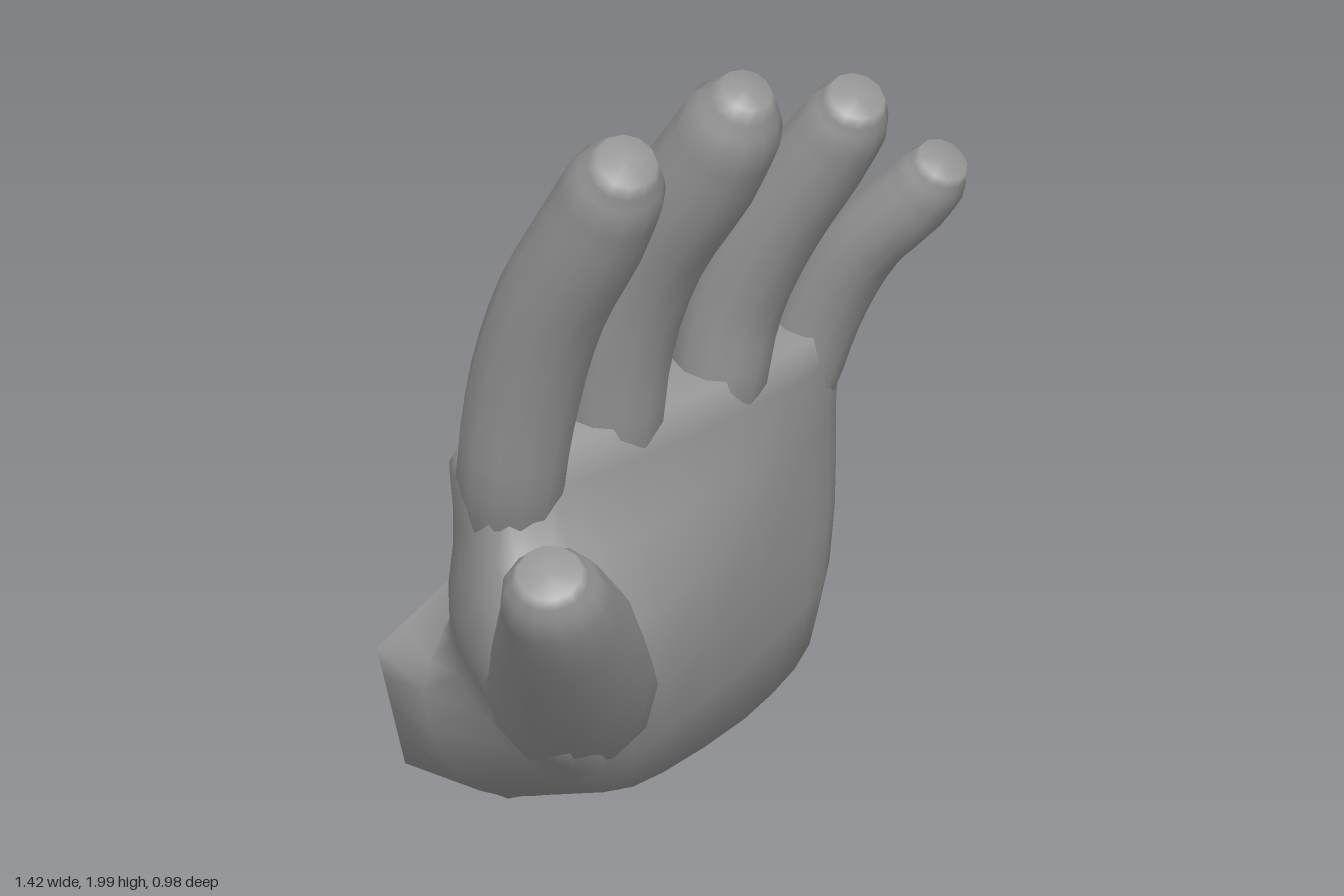
import * as THREE from 'three';

const material = new THREE.MeshStandardMaterial({ color: 0x969696, side: THREE.DoubleSide });

// Skin a list of equal-sized point rings and close the far end
function loft(name, rings, tip) {
  const n = rings[0].length, pos = [], idx = [];
  rings.forEach(r => r.forEach(p => pos.push(p.x, p.y, p.z)));
  pos.push(tip.x, tip.y, tip.z);
  rings.forEach((_, i) => {
    for (let j = 0; j < n; j++) {
      const a = i * n + j, b = i * n + (j + 1) % n;
      if (i < rings.length - 1) idx.push(a, b, b + n, a, b + n, a + n);
      else idx.push(a, b, rings.length * n);
    }
  });
  const g = new THREE.BufferGeometry();
  g.setAttribute('position', new THREE.Float32BufferAttribute(pos, 3));
  g.setIndex(idx);
  g.computeVertexNormals();
  const mesh = new THREE.Mesh(g, material);
  mesh.name = name;
  return mesh;
}

// Tapered, bent finger; each key is [x, y, z, radius]
function finger(name, keys, sides = 12) {
  const path = new THREE.CatmullRomCurve3(keys.map(k => new THREE.Vector3(k[0], k[1], k[2])));
  const steps = (keys.length - 1) * 3, rings = [];
  for (let i = 0; i <= steps; i++) {
    const t = i / steps, s = t * (keys.length - 1);
    const k = Math.min(Math.floor(s), keys.length - 2);
    const r = THREE.MathUtils.lerp(keys[k][3], keys[k + 1][3], s - k);
    const c = path.getPoint(t), d = path.getTangent(t);
    const u = new THREE.Vector3(1, 0, 0).addScaledVector(d, -d.x).normalize();
    const v = new THREE.Vector3().crossVectors(d, u);
    rings.push(Array.from({ length: sides }, (_, j) => {
      const a = j / sides * Math.PI * 2;
      return c.clone().addScaledVector(u, r * Math.cos(a)).addScaledVector(v, r * Math.sin(a));
    }));
  }
  return loft(name, rings, path.getPoint(1));
}

// Seven-cornered wrist opening, four points per edge
function wristRing() {
  const corners = [
    [0.51, 0.16, -0.465], [0.47, 0.42, -0.48], [0.02, 0.60, -0.49], [-0.33, 0.48, -0.46],
    [-0.25, 0.18, -0.46], [0.03, 0.00, -0.45], [0.35, 0.01, -0.44],
  ].map(c => new THREE.Vector3(...c));
  return corners.flatMap((c, i) =>
    [0, 0.25, 0.5, 0.75].map(t => c.clone().lerp(corners[(i + 1) % 7], t)));
}

// Palm ring: x range, back (y, z), front (y, z), corner power, pull towards the thumb
function palmRing([x0, x1, by, bz, fy, fz, pow, pull]) {
  const soft = w => Math.sign(w) * Math.pow(Math.abs(w), pow);
  return Array.from({ length: 28 }, (_, j) => {
    const a = j / 28 * Math.PI * 2, c = soft(Math.cos(a)), s = soft(Math.sin(a));
    const w = Math.pow(Math.max(0, Math.cos(a - 3.85)), 2.5);
    return new THREE.Vector3(
      (x0 + x1) / 2 + c * (x1 - x0) / 2,
      (by + fy) / 2 + s * (by - fy) / 2,
      (bz + fz) / 2 + s * (bz - fz) / 2).addScaledVector(new THREE.Vector3(...pull), w);
  });
}

export function createModel() {
  const hand = new THREE.Group();
  hand.name = 'hand';

  // Palm with an open wrist facing backwards, bulging into the base of the thumb
  const palmRings = [
    [-0.34, 0.58, 0.61, -0.37, 0.13, -0.22, 0.85, [0, 0, 0.02]],
    [-0.35, 0.60, 0.66, -0.36, 0.29, 0.01, 0.82, [-0.04, 0.02, 0.17]],
    [-0.36, 0.62, 0.72, -0.35, 0.45, 0.03, 0.8, [-0.11, -0.02, 0.24]],
    [-0.37, 0.63, 0.78, -0.335, 0.60, 0.03, 0.78, [-0.17, -0.03, 0.29]],
    [-0.37, 0.63, 0.86, -0.315, 0.75, 0.03, 0.78, [-0.13, -0.02, 0.24]],
    [-0.38, 0.62, 0.94, -0.29, 0.88, 0.03, 0.75, [-0.03, -0.03, 0.08]],
    [-0.42, 0.62, 1.06, -0.24, 1.02, 0.03, 0.72, [0, 0, 0.02]],
    [-0.41, 0.61, 1.12, -0.19, 1.10, 0.02, 0.72, [0, 0, 0]],
  ].map(palmRing);
  hand.add(loft('palm', [wristRing(), ...palmRings], new THREE.Vector3(0.1, 1.11, -0.08)));

  // Fingers, emerging gradually from the palm
  hand.add(finger('indexFinger', [
    [-0.28, 0.82, -0.10, 0.08], [-0.315, 1.05, -0.06, 0.118], [-0.32, 1.28, -0.01, 0.122],
    [-0.32, 1.50, 0.07, 0.12], [-0.31, 1.70, 0.18, 0.118], [-0.31, 1.85, 0.26, 0.108],
    [-0.325, 1.93, 0.31, 0.065]]));
  hand.add(finger('middleFinger', [
    [-0.02, 0.82, -0.12, 0.08], [-0.025, 1.06, -0.08, 0.118], [-0.025, 1.28, -0.05, 0.125],
    [-0.01, 1.50, 0.03, 0.122], [0.015, 1.72, 0.165, 0.12], [0.025, 1.88, 0.255, 0.108],
    [0.02, 1.97, 0.30, 0.055]]));
  hand.add(finger('ringFinger', [
    [0.26, 0.82, -0.12, 0.07], [0.275, 1.06, -0.07, 0.105], [0.295, 1.25, -0.04, 0.106],
    [0.325, 1.44, 0.04, 0.103], [0.365, 1.62, 0.14, 0.1], [0.385, 1.74, 0.21, 0.09],
    [0.38, 1.805, 0.245, 0.06]]));
  hand.add(finger('littleFinger', [
    [0.49, 0.80, -0.12, 0.07], [0.53, 1.02, -0.085, 0.09], [0.555, 1.18, -0.03, 0.088],
    [0.58, 1.32, 0.05, 0.084], [0.62, 1.43, 0.14, 0.084], [0.64, 1.50, 0.19, 0.076],
    [0.645, 1.55, 0.22, 0.055]]));

  // Thumb, starting deep inside the palm so its base swells out gently
  hand.add(finger('thumb', [
    [-0.10, 0.47, -0.13, 0.10], [-0.20, 0.51, -0.01, 0.155], [-0.30, 0.61, 0.11, 0.18],
    [-0.44, 0.81, 0.25, 0.158], [-0.55, 0.96, 0.35, 0.127], [-0.61, 1.05, 0.39, 0.108],
    [-0.635, 1.11, 0.41, 0.07]]));

  return hand;
}
